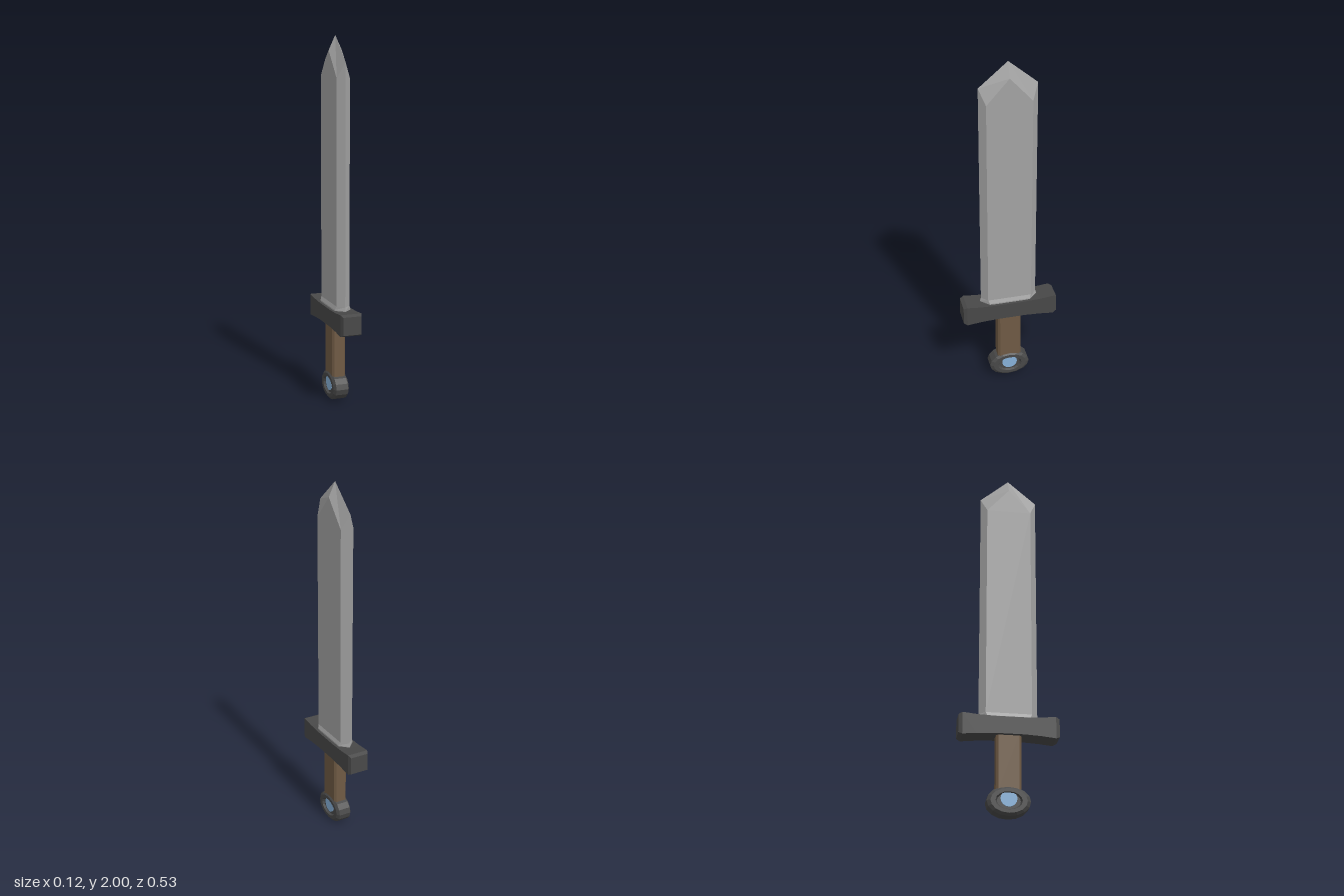
import * as THREE from 'three';

const material = (color) => new THREE.MeshStandardMaterial({ color, flatShading: true });

// Skin a list of equal-length rings (counter-clockwise seen from the far end) and cap both ends
function loft(rings) {
  const pos = [];
  const n = rings[0].length;
  const tri = (a, b, c) => pos.push(...a, ...b, ...c);
  for (let k = 0; k < rings.length - 1; k++) {
    const a = rings[k], b = rings[k + 1];
    for (let i = 0; i < n; i++) {
      const j = (i + 1) % n;
      tri(a[i], a[j], b[j]);
      tri(a[i], b[j], b[i]);
    }
  }
  const first = rings[0], last = rings[rings.length - 1];
  for (let i = 1; i < n - 1; i++) {
    tri(first[0], first[i + 1], first[i]);
    tri(last[0], last[i], last[i + 1]);
  }
  const geometry = new THREE.BufferGeometry();
  geometry.setAttribute('position', new THREE.Float32BufferAttribute(pos, 3));
  geometry.computeVertexNormals();
  return geometry;
}

// Hexagonal blade section: flat sides at +-x, cutting edges at +-z
const bladeRing = (hx, flatZ, flatY, edgeZ, edgeY) => [
  [hx, flatY, flatZ], [hx, flatY, -flatZ], [0, edgeY, -edgeZ],
  [-hx, flatY, -flatZ], [-hx, flatY, flatZ], [0, edgeY, edgeZ],
];

// Guard section at a given z
const guardRing = (z, hx, lo, hi) => [[hx, lo, z], [hx, hi, z], [-hx, hi, z], [-hx, lo, z]];

// Grip section: rectangle with cut corners
const gripRing = (y) => [
  [0.038, y, 0.055], [0.038, y, -0.055], [0.028, y, -0.067], [-0.028, y, -0.067],
  [-0.038, y, -0.055], [-0.038, y, 0.055], [-0.028, y, 0.067], [0.028, y, 0.067],
];

export function createModel() {
  const group = new THREE.Group();
  const steel = material(0xa3a3a3);
  const iron = material(0x484848);
  const wood = material(0x6f5a44);
  const glass = material(0x87b1d9);
  const add = (name, geometry, mat) => {
    const mesh = new THREE.Mesh(geometry, mat);
    mesh.name = name;
    group.add(mesh);
    return mesh;
  };

  // Blade: flared foot, straight body, bevelled shoulders meeting in a point
  add('blade', loft([
    bladeRing(0.045, 0.115, 0.52, 0.163, 0.52),
    bladeRing(0.045, 0.115, 0.535, 0.163, 0.535),
    bladeRing(0.037, 0.123, 0.555, 0.157, 0.555),
    bladeRing(0.037, 0.123, 1.78, 0.157, 1.865),
    bladeRing(0.037, 0, 1.92, 0, 2),
  ]), steel);

  // Guard: bar with swollen, chamfered ends, mirrored in z
  const half = [
    [0.267, 0.052, 0.43, 0.53], [0.247, 0.06, 0.42, 0.54],
    [0.17, 0.06, 0.428, 0.532], [0.08, 0.06, 0.433, 0.528],
  ];
  add('guard', loft([
    ...half.map(([z, ...r]) => guardRing(-z, ...r)),
    ...half.slice().reverse().map((r) => guardRing(...r)),
  ]), iron);

  // Grip
  add('grip', loft([gripRing(0.13), gripRing(0.44)]), wood);

  // Pommel: flattened disc with a dished centre on both sides
  const side = [[0, 0.034], [0.062, 0.034], [0.07, 0.045], [0.096, 0.045], [0.115, 0.034]];
  const profile = [
    ...side.map(([r, x]) => new THREE.Vector2(r, -x)),
    ...side.slice().reverse().map(([r, x]) => new THREE.Vector2(r, x)),
  ];
  const disc = new THREE.LatheGeometry(profile, 16);
  disc.rotateZ(-Math.PI / 2).scale(1, 0.68, 1);
  add('pommel', disc, iron).position.y = 0.078;

  // Gem set through the pommel: round below, cut flat on top
  const outline = new THREE.Shape();
  outline.absarc(0, 0, 0.043, Math.PI * 0.76, Math.PI * 2.24, false);
  outline.closePath();
  const gem = new THREE.ExtrudeGeometry(outline, { depth: 0.078, bevelEnabled: false, curveSegments: 14 });
  gem.translate(0, 0, -0.039).rotateY(Math.PI / 2);
  add('gem', gem, glass).position.y = 0.091;

  return group;
}
